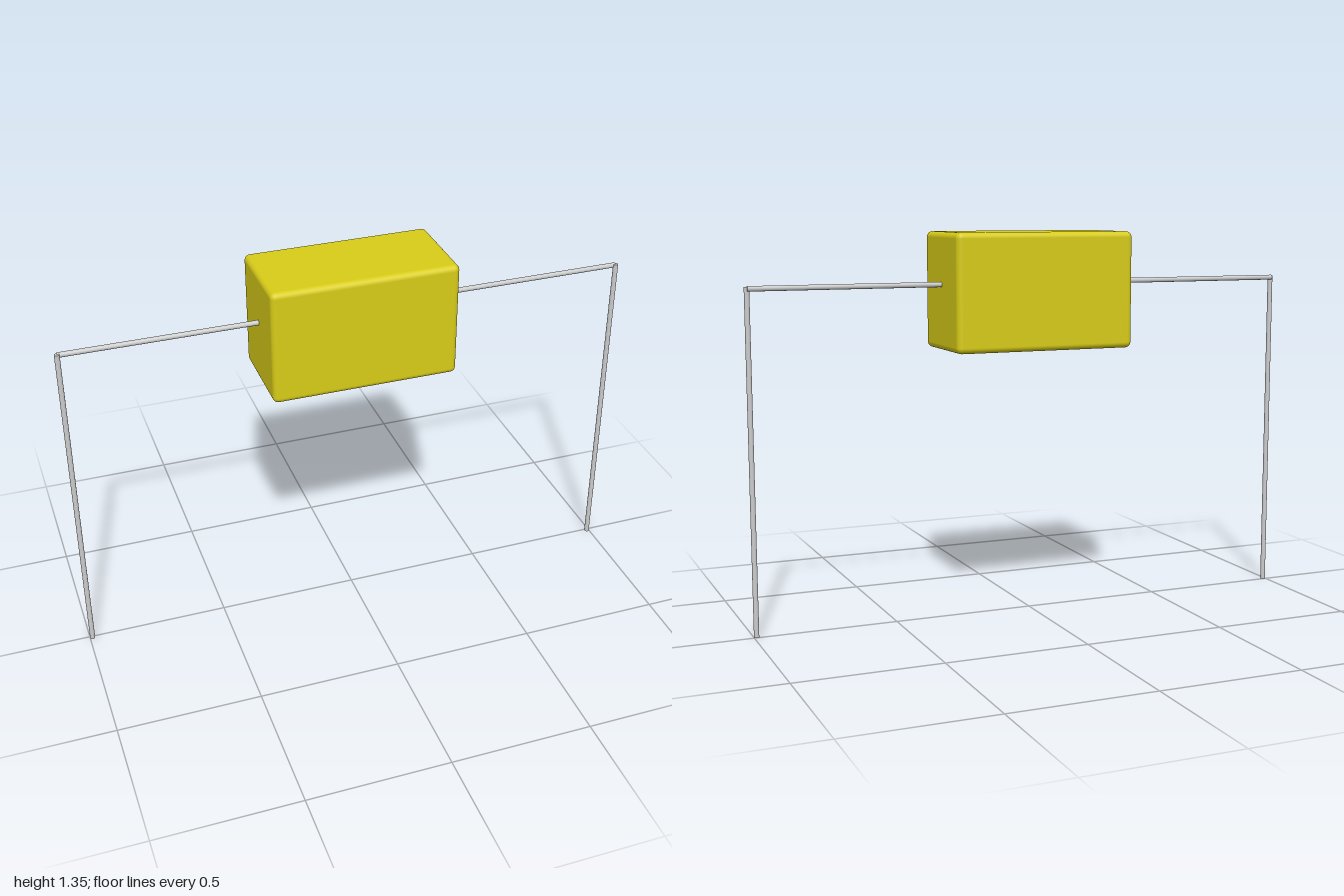
import * as THREE from 'three';
import { RoundedBoxGeometry } from 'three/addons/geometries/RoundedBoxGeometry.js';

const WIRE = 0.009;
const LEAD_Y = 1.168;
const LEG_X = 0.991;

export function createModel() {
  const group = new THREE.Group();
  const yellow = new THREE.MeshStandardMaterial({ color: 0xd8cc18 });
  const grey = new THREE.MeshStandardMaterial({ color: 0xcccccc });

  // moulded block with softly rounded edges
  const body = new THREE.Mesh(new RoundedBoxGeometry(0.65, 0.405, 0.325, 4, 0.02), yellow);
  body.name = 'body';
  body.position.y = 1.144;
  group.add(body);

  // each wire runs out of the body and turns down into a leg
  for (const [side, s] of [['left', 1], ['right', -1]]) {
    const inner = 0.3;
    const lead = new THREE.Mesh(new THREE.CylinderGeometry(WIRE, WIRE, LEG_X - inner, 16), grey);
    lead.name = side + 'Lead';
    lead.rotation.z = Math.PI / 2;
    lead.position.set(s * (LEG_X + inner) / 2, LEAD_Y, 0);
    group.add(lead);

    const height = LEAD_Y + 0.006;
    const leg = new THREE.Mesh(new THREE.CylinderGeometry(WIRE, WIRE, height, 16), grey);
    leg.name = side + 'Leg';
    leg.position.set(s * LEG_X, height / 2, 0.007);
    group.add(leg);
  }
  return group;
}
